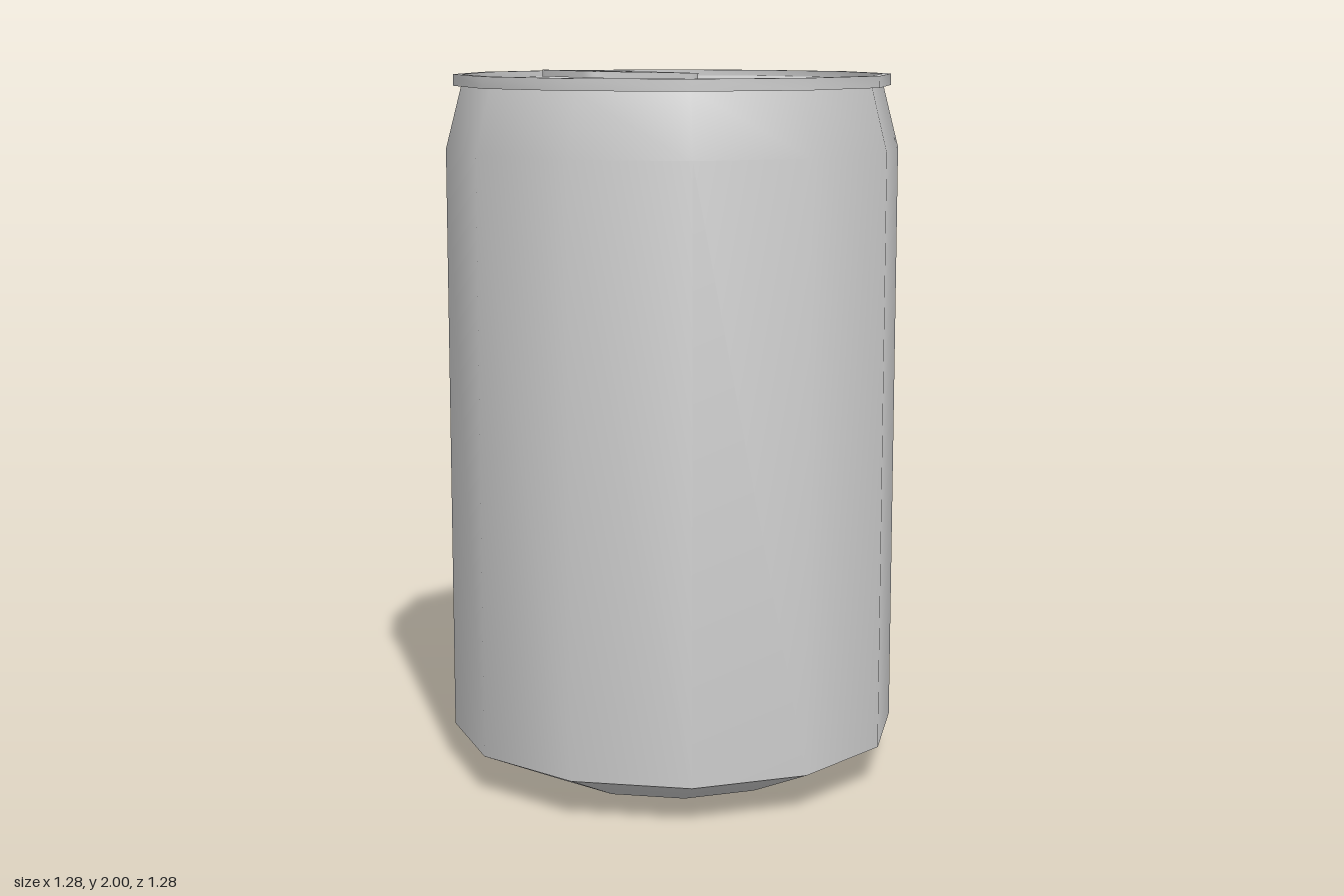
import * as THREE from 'three';
import { toCreasedNormals } from 'three/addons/utils/BufferGeometryUtils.js';

const SIDES = 12;
const CREASE = 0.62; // keeps the 12 sides smooth and the hard edges sharp
const grey = new THREE.MeshStandardMaterial({ color: 0xcccccc });

function addMesh(group, name, geometry) {
  const mesh = new THREE.Mesh(toCreasedNormals(geometry, CREASE), grey);
  mesh.name = name;
  group.add(mesh);
  return mesh;
}

function turned(profile) {
  return new THREE.LatheGeometry(profile.map(([r, y]) => new THREE.Vector2(r, y)), SIDES);
}

// Traces a closed polygon with rounded corners
function roundedOutline(path, corners, radius) {
  const pts = corners.map(([x, y]) => new THREE.Vector2(x, y));
  pts.forEach((p, i) => {
    const prev = pts[(i + pts.length - 1) % pts.length];
    const next = pts[(i + 1) % pts.length];
    const a = p.clone().add(prev.clone().sub(p).setLength(radius));
    const b = p.clone().add(next.clone().sub(p).setLength(radius));
    if (i === 0) path.moveTo(a.x, a.y);
    else path.lineTo(a.x, a.y);
    path.quadraticCurveTo(p.x, p.y, b.x, b.y);
  });
  path.closePath();
  return path;
}

export function createModel() {
  const can = new THREE.Group();
  can.name = 'drinkCan';

  // Base, straight wall and tapered shoulder
  addMesh(can, 'body', turned([
    [0, 0], [0.4, 0], [0.64, 0.11], [0.64, 1.78], [0.595, 1.955],
  ]));

  // Overhanging rim with the recessed lid inside it
  addMesh(can, 'rimAndLid', turned([
    [0.59, 1.955], [0.617, 1.955], [0.617, 1.987], [0.595, 1.987], [0.595, 1.97], [0, 1.97],
  ]));

  // Pull tab: tapered plate with a finger hole, tilted slightly
  const outline = roundedOutline(new THREE.Shape(),
    [[-0.36, -0.137], [0.02, -0.118], [0.02, 0.128], [-0.36, 0.147]], 0.045);
  outline.holes.push(roundedOutline(new THREE.Path(),
    [[-0.332, -0.108], [-0.332, 0.12], [-0.17, 0.102], [-0.17, -0.092]], 0.015));
  const plate = new THREE.ExtrudeGeometry(outline, { depth: 0.018, bevelEnabled: false, curveSegments: 4 });
  plate.rotateX(-Math.PI / 2);
  const tab = addMesh(can, 'pullTab', plate);
  tab.rotation.z = -0.026;
  tab.position.y = 1.973;

  return can;
}
